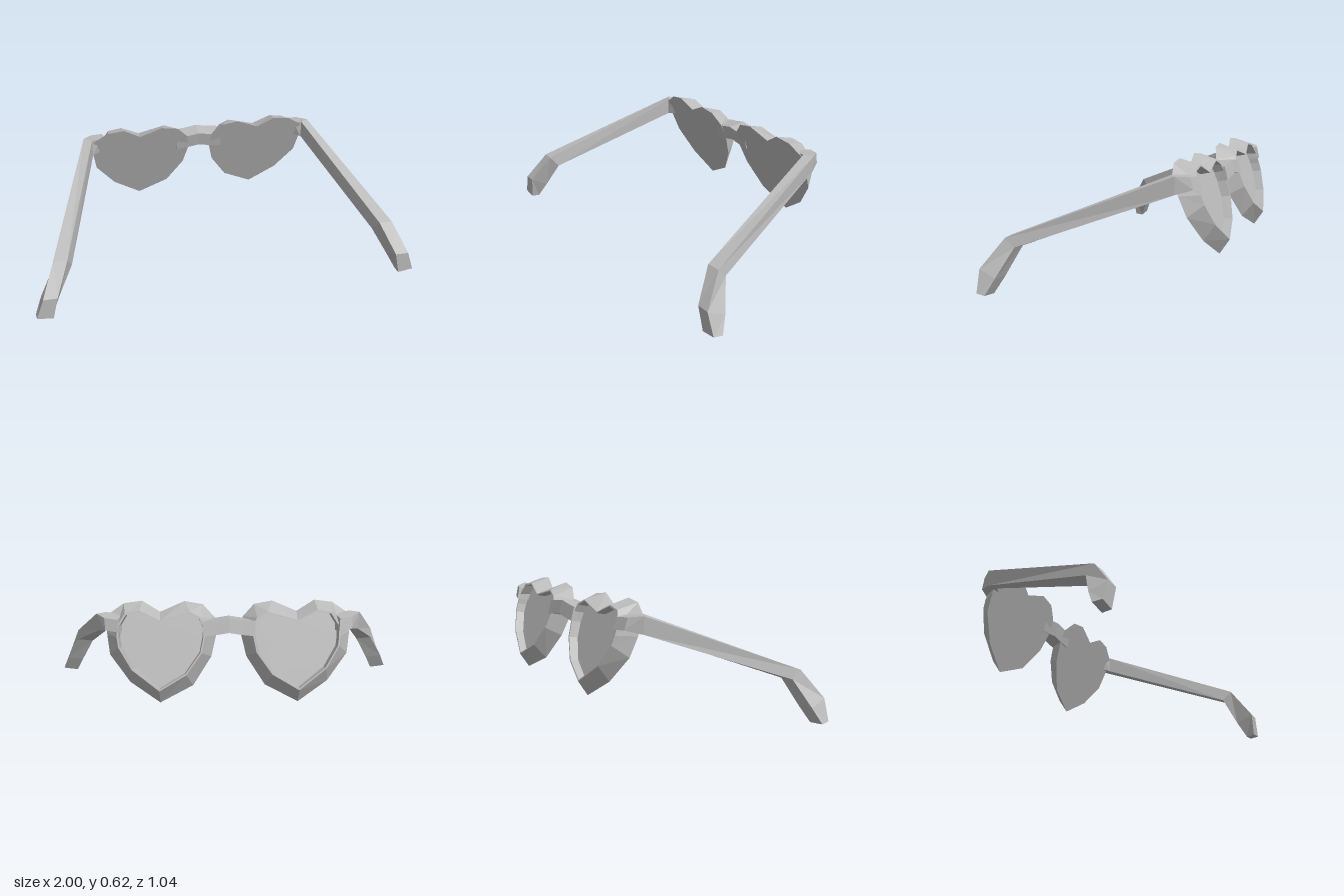
import * as THREE from 'three';

const grey = new THREE.MeshStandardMaterial({ color: 0xbbbbbb });
grey.name = 'grey plastic';

// Faceted mesh from a list of triangles (arrays of three points)
function facetMesh(name, tris) {
  const g = new THREE.BufferGeometry();
  g.setAttribute('position', new THREE.Float32BufferAttribute(tris.flat(2), 3));
  g.computeVertexNormals();
  const m = new THREE.Mesh(g, grey);
  m.name = name;
  return m;
}

// Skin between closed cross-sections; side -1 mirrors it in x
function loft(name, rings, side = 1, caps = false) {
  const tris = [];
  const quad = (a, b, c, d) => tris.push([a, b, c], [a, c, d]);
  for (let j = 0; j + 1 < rings.length; j++) {
    const p = rings[j], q = rings[j + 1], n = p.length;
    for (let i = 0; i < n; i++) {
      const k = (i + 1) % n;
      quad(p[i], p[k], q[k], q[i]);
    }
  }
  if (caps) {
    const [a, b, c, d] = rings[0];
    quad(d, c, b, a);
    quad(...rings[rings.length - 1]);
  }
  const out = side > 0 ? tris
    : tris.map(([a, b, c]) => [a, c, b].map(([x, y, z]) => [-x, y, z]));
  return facetMesh(name, out);
}

// Flat heart-shaped pane that faces +z or -z
function pane(name, ring, facing, side) {
  const pts = ring.map(([x, y, z]) => [x * side, y, z]);
  const flat = pts.map(([x, y]) => new THREE.Vector2(x, y));
  const tris = THREE.ShapeUtils.triangulateShape(flat, []).map((f) => {
    const [a, b, c] = f.map((i) => pts[i]);
    const turn = (b[0] - a[0]) * (c[1] - a[1]) - (b[1] - a[1]) * (c[0] - a[0]);
    return turn * facing > 0 ? [a, b, c] : [a, c, b];
  });
  return facetMesh(name, tris);
}

// Heart outlines, from the notch round by the outer lobe
const outerHeart = [
  [0.345, 0.57], [0.436, 0.623], [0.527, 0.612], [0.607, 0.56], [0.612, 0.47],
  [0.597, 0.37], [0.495, 0.24], [0.345, 0.142], [0.18, 0.222], [0.088, 0.357],
  [0.06, 0.47], [0.072, 0.545], [0.13, 0.605], [0.222, 0.62],
];
const lensHeart = [
  [0.34, 0.522], [0.436, 0.567], [0.505, 0.555], [0.54, 0.5], [0.542, 0.45],
  [0.535, 0.405], [0.473, 0.305], [0.345, 0.21], [0.22, 0.28], [0.147, 0.378],
  [0.131, 0.453], [0.133, 0.5], [0.15, 0.535], [0.2, 0.56],
];

// Tilted planes of the wearer's side and of the raised rim
const rearZ = (y) => -0.29 - (0.62 - y) * 0.375;
const rimZ = (y) => -0.4 - (0.585 - y) * 0.33;

const rear = (pts) => pts.map(([x, y]) => [x, y, rearZ(y)]);
const rim = (s) => lensHeart.map(([x, y]) => {
  const v = 0.41 + (y - 0.39) * s;
  return [0.34 + (x - 0.34) * s, v, rimZ(v)];
});

// Arm cross-sections from hinge to tip: top outer, top inner, bottom inner, bottom outer
const arm = [
  [[0.55, 0.56, -0.425], [0.53, 0.565, -0.33], [0.53, 0.485, -0.36], [0.545, 0.5, -0.44]],
  [[0.615, 0.565, -0.405], [0.57, 0.568, -0.325], [0.57, 0.485, -0.345], [0.61, 0.505, -0.42]],
  [[0.66, 0.572, -0.345], [0.615, 0.572, -0.315], [0.615, 0.48, -0.315], [0.655, 0.485, -0.345]],
  [[0.89, 0.27, 0.415], [0.82, 0.27, 0.42], [0.8, 0.215, 0.375], [0.885, 0.225, 0.37]],
  [[0.955, 0.125, 0.52], [0.885, 0.125, 0.52], [0.875, 0.08, 0.43], [0.965, 0.09, 0.43]],
  [[0.995, 0.017, 0.515], [0.915, 0.006, 0.515], [0.917, 0, 0.47], [1, 0.012, 0.468]],
];

export function createModel() {
  const model = new THREE.Group();
  model.name = 'heartGlasses';

  for (const side of [1, -1]) {
    const tag = side > 0 ? 'left' : 'right';
    const lensBack = rear(lensHeart);
    const lensFront = lensBack.map(([x, y, z]) => [x, y + 0.012, z - 0.035]);

    // Rim: rear face, sloping outer wall, thin lip and recess
    model.add(loft(tag + 'Rim', [lensBack, rear(outerHeart), rim(1.06), rim(1.02), lensFront], side));
    // Lens panes
    model.add(pane(tag + 'LensRear', lensBack, 1, side));
    model.add(pane(tag + 'LensFront', lensFront, -1, side));
    // Hinge and arm
    model.add(loft(tag + 'Arm', arm, side, true));
  }

  // Bridge, slightly arched in the middle
  const bridge = [[-0.13, -0.012], [-0.06, -0.004], [0, 0.006], [0.06, -0.004], [0.13, -0.012]]
    .map(([x, dy]) => [
      [x, 0.558 + dy, -0.425], [x, 0.546 + dy, -0.325],
      [x, 0.468 + dy, -0.345], [x, 0.488 + dy, -0.443],
    ]);
  model.add(loft('bridge', bridge, 1, true));
  return model;
}
